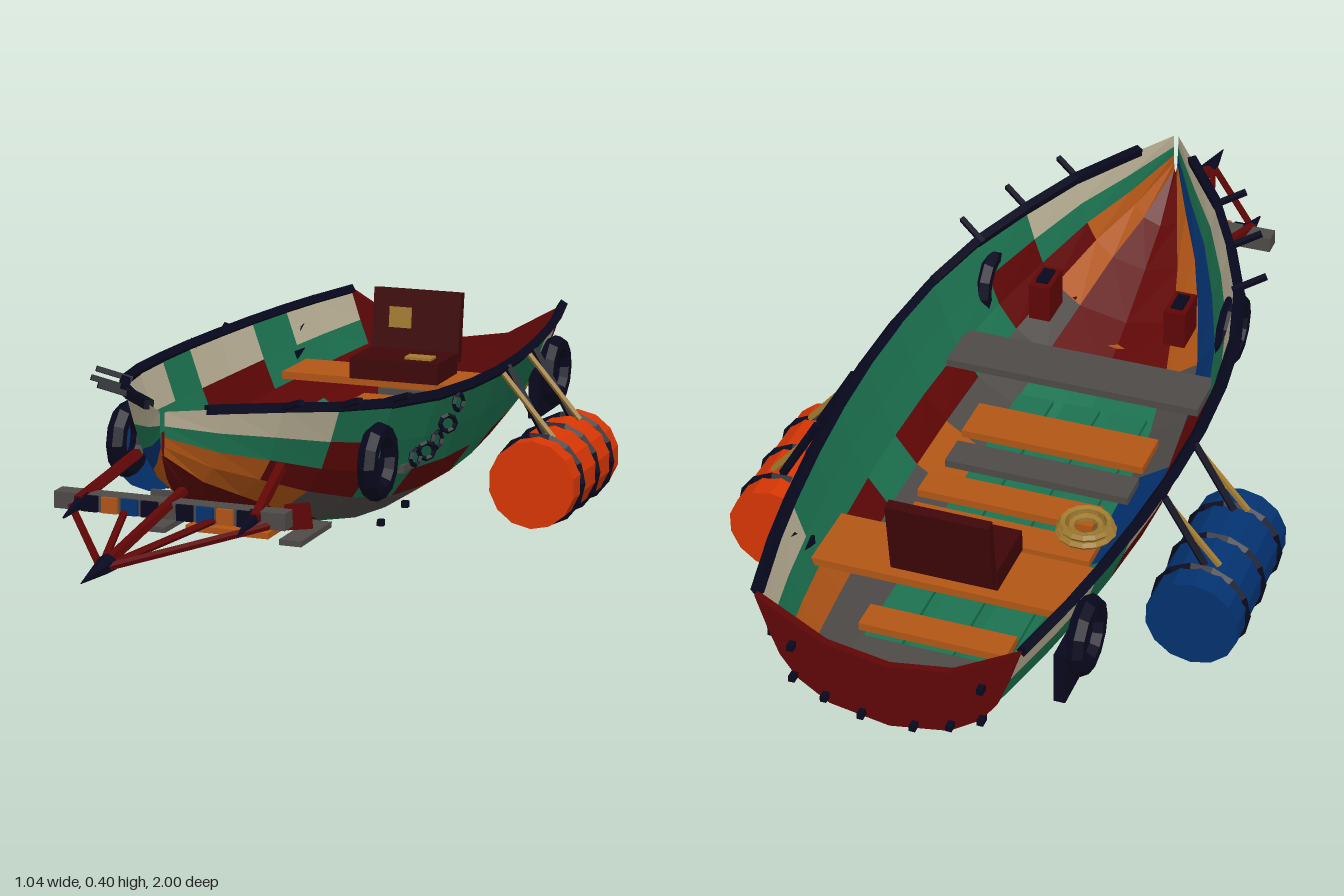
import * as THREE from 'three';

const paint = (name, color) => {
  const m = new THREE.MeshStandardMaterial({ color, flatShading: true, side: THREE.DoubleSide });
  m.name = name;
  return m;
};

// Hull stations from bow to stern: z, half width, sheer height, keel height
const STATIONS = [
  [0.65, 0.005, 0.4, 0.31], [0.55, 0.08, 0.39, 0.235], [0.45, 0.155, 0.378, 0.185],
  [0.33, 0.222, 0.36, 0.128], [0.2, 0.28, 0.345, 0.08], [0.05, 0.318, 0.333, 0.045],
  [-0.1, 0.335, 0.326, 0.03], [-0.25, 0.34, 0.322, 0.025], [-0.4, 0.335, 0.32, 0.03],
  [-0.55, 0.322, 0.32, 0.042], [-0.7, 0.303, 0.32, 0.055], [-0.82, 0.283, 0.32, 0.07],
  [-0.97, 0.25, 0.32, 0.09],
];
// Section shape, gunwale to keel: fraction of width and of height
const SECTION = [[1, 1], [0.91, 0.7], [0.83, 0.47], [0.7, 0.27], [0.46, 0.09], [0, 0]];
// Plank colours, one letter per bay from bow to stern, gunwale strake first
const LEFT = ['CCCGGGGGGGCC', 'GGGRGGGGGGGG', 'OORRGRRGROOO', 'OOONNNONNNNN', 'RRRRGGGGGGGG'];
const RIGHT = ['CCCCCCGCCGCC', 'GGGGGGGRRGGG', 'BBBBBRRRRRRR', 'OOOONNBBGGRR', 'RRRRGGGGGGGG'];

const hullPoint = (i, k, side) => {
  const [z, w, top, keel] = STATIONS[i];
  return new THREE.Vector3(side * w * SECTION[k][0], keel + (top - keel) * SECTION[k][1], z);
};

export function createModel() {
  const boat = new THREE.Group();
  boat.name = 'salvagedBoat';
  const green = paint('green', 0x1c7250), orange = paint('woodOrange', 0xb25616);
  const vermilion = paint('barrelOrange', 0xd83604), blue = paint('blue', 0x043270);
  const navy = paint('darkNavy', 0x08081e), red = paint('darkRed', 0x600606);
  const grey = paint('grey', 0x4e4a48), cream = paint('cream', 0xb8ae94);
  const gold = paint('rope', 0xa07a30), maroon = paint('maroon', 0x3e0608);
  const byLetter = { G: green, O: orange, B: blue, R: red, N: grey, C: cream };

  const add = (name, geometry, material, x = 0, y = 0, z = 0) => {
    const m = new THREE.Mesh(geometry, material);
    m.name = name;
    m.position.set(x, y, z);
    boat.add(m);
    return m;
  };
  const box = (name, mat, x, y, z, w, h, d) => add(name, new THREE.BoxGeometry(w, h, d), mat, x, y, z);
  // Straight bar between two points, optionally tapered
  const bar = (name, mat, a, b, r, sides = 5, rEnd = r) => {
    const from = new THREE.Vector3(...a), to = new THREE.Vector3(...b);
    const dir = to.clone().sub(from);
    const m = add(name, new THREE.CylinderGeometry(rEnd, r, dir.length(), sides), mat);
    m.position.copy(from).add(to).multiplyScalar(0.5);
    m.quaternion.setFromUnitVectors(new THREE.Vector3(0, 1, 0), dir.normalize());
    return m;
  };

  // Hull planks: each run of one colour along a strake is one panel
  for (const [side, colours] of [[1, LEFT], [-1, RIGHT]]) {
    colours.forEach((row, k) => {
      for (let start = 0; start < row.length;) {
        let end = start;
        const points = [];
        while (end < row.length && row[end] === row[start]) {
          const a = hullPoint(end, k, side), b = hullPoint(end + 1, k, side);
          const c = hullPoint(end + 1, k + 1, side), d = hullPoint(end, k + 1, side);
          points.push(...(side > 0 ? [a, d, c, a, c, b] : [a, c, d, a, b, c]));
          end++;
        }
        const g = new THREE.BufferGeometry().setFromPoints(points);
        g.computeVertexNormals();
        add('hullPlank', g, byLetter[row[start]]);
        start = end;
      }
    });
    // Gunwale rail
    for (let i = 0; i < STATIONS.length - 1; i++) {
      const a = hullPoint(i, 0, side), b = hullPoint(i + 1, 0, side);
      if (i === 0) a.lerp(b, 0.7);
      bar('gunwale', navy, a.toArray(), b.toArray(), 0.0125, 4);
    }
  }

  // Transom with a dipped top edge
  const shape = new THREE.Shape();
  const last = STATIONS.length - 1;
  const rim = [];
  for (let k = 0; k <= 5; k++) rim.push(hullPoint(last, k, 1));
  for (let k = 4; k >= 0; k--) rim.push(hullPoint(last, k, -1));
  rim.forEach((p, i) => (i ? shape.lineTo(p.x, p.y) : shape.moveTo(p.x, p.y)));
  shape.lineTo(-0.12, 0.245);
  shape.lineTo(0, 0.225);
  shape.lineTo(0.12, 0.245);
  add('transom', new THREE.ExtrudeGeometry(shape, { depth: 0.015, bevelEnabled: false }), red, 0, 0, -0.983);
  for (const s of [1, -1]) {
    for (const [x, y] of [[0.05, 0.11], [0.12, 0.13], [0.18, 0.16], [0.18, 0.23]]) {
      box('transomBolt', navy, s * x, y, -0.99, 0.012, 0.012, 0.02);
    }
  }

  // Floor slats
  for (const x of [-0.1, 0, 0.1]) box('floorSlat', green, x, 0.092, -0.42, 0.075, 0.01, 0.95);
  // Cross planks and thwarts: material, x, y, z, width, depth
  for (const [m, x, y, z, w, d] of [
    [grey, 0, 0.125, -0.845, 0.25, 0.07], [orange, 0, 0.12, -0.745, 0.29, 0.06],
    [orange, 0, 0.2, -0.645, 0.52, 0.145], [grey, 0, 0.115, -0.525, 0.36, 0.07],
    [orange, 0, 0.11, -0.415, 0.38, 0.068], [orange, 0.02, 0.11, -0.31, 0.36, 0.068],
    [grey, -0.005, 0.11, -0.2, 0.38, 0.07], [orange, 0, 0.11, -0.08, 0.38, 0.1],
    [grey, 0, 0.19, 0.042, 0.53, 0.115],
  ]) box('crossPlank', m, x, y, z, w, 0.016, d);

  // Open case on the bench
  box('caseBase', maroon, 0, 0.23, -0.63, 0.2, 0.045, 0.13);
  box('caseLid', maroon, 0, 0.305, -0.718, 0.2, 0.15, 0.022).rotation.x = -0.12;
  box('caseLabel', gold, 0.045, 0.255, -0.61, 0.06, 0.006, 0.035);
  box('lidLabel', gold, -0.035, 0.32, -0.704, 0.05, 0.045, 0.006).rotation.x = -0.12;

  // Rope coil
  for (const [r, y] of [[0.052, 0.126], [0.047, 0.14], [0.03, 0.132]]) {
    add('ropeCoil', new THREE.TorusGeometry(r, 0.008, 5, 14), gold, -0.155, y, -0.365).rotation.x = Math.PI / 2;
  }

  for (const s of [1, -1]) {
    // Barrel with raised hoops, slung from the gunwale
    const barrel = add('barrel', new THREE.CylinderGeometry(0.091, 0.091, 0.315, 14), s > 0 ? vermilion : blue, s * 0.422, 0.098, -0.38);
    barrel.rotation.x = Math.PI / 2;
    for (const z of [-0.275, -0.38, -0.48]) {
      add('barrelHoop', new THREE.TorusGeometry(0.09, 0.008, 4, 14), navy, s * 0.422, 0.098, z);
    }
    for (const z of [-0.28, -0.46]) {
      bar('barrelRope', gold, [s * 0.338, 0.315, z], [s * 0.45, 0.186, z], 0.0065);
      bar('barrelStrap', navy, [s * 0.345, 0.325, z - 0.012], [s * 0.425, 0.19, z - 0.012], 0.0085, 4);
    }
    // Tyre fenders
    box('fenderPad', navy, s * 0.278, 0.178, -0.77, 0.022, 0.105, 0.18);
    for (const [x, y, z] of [[0.26, 0.235, 0.23], [0.297, 0.215, -0.77]]) {
      add('tyre', new THREE.TorusGeometry(0.058, 0.02, 6, 12), navy, s * x, y, z).rotation.y = Math.PI / 2;
    }
    // Thole pegs along the bow rail
    for (const [x, y, z] of [[0.265, 0.347, 0.2], [0.215, 0.36, 0.33], [0.145, 0.375, 0.45]]) {
      bar('tholePeg', navy, [s * x, y, z], [s * (x + 0.06), y + 0.024, z + 0.035], 0.0075, 4);
    }
    // Bow lockers and loose boards under the bow
    box('bowLocker', red, s * 0.145, 0.225, 0.24, 0.045, 0.08, 0.08);
    box('lockerTop', navy, s * 0.145, 0.267, 0.24, 0.025, 0.006, 0.05);
    box('underBoard', grey, s * 0.14, 0.1, 0.3, 0.045, 0.011, 0.16);
    const patch = box('bowPatch', s > 0 ? red : grey, s * 0.14, 0.142, 0.336, 0.05, 0.05, 0.008);
    patch.rotation.z = s > 0 ? 0.15 : 0;
    // Prow frame side spars
    bar('prowSpar', red, [s * 0.145, 0.262, 0.44], [s * 0.175, 0.215, 0.64], 0.012);
    bar('sparTip', navy, [s * 0.17, 0.215, 0.62], [s * 0.172, 0.2, 0.71], 0.016, 5, 0.002);
    for (const x of [0.2, 0.09]) bar('prowStay', red, [s * x, 0.2, 0.62], [0, 0.176, 0.92], 0.0075);
    for (const [m, x] of [[navy, 0.155], [orange, 0.115], [blue, 0.075], [navy, 0.035]]) {
      box('beamBlock', m, s * x, 0.21, 0.632, 0.032, 0.03, 0.009);
    }
  }
  // Hull bolts
  for (const [x, y, z] of [
    [0.24, 0.1, 0.02], [0.16, 0.035, -0.06], [-0.2, 0.068, 0], [-0.21, 0.075, 0.02],
    [-0.09, 0.02, -0.21], [-0.097, 0.025, -0.18],
  ]) box('hullBolt', navy, x, y, z, 0.013, 0.013, 0.013);
  box('underBoard', orange, 0, 0.102, 0.31, 0.17, 0.012, 0.09);
  box('hullPatch', red, -0.15, 0.05, 0.06, 0.1, 0.01, 0.04).rotation.z = -0.4;

  // Prow crossbeam, centre spar and spike
  box('crossbeam', grey, 0, 0.21, 0.61, 0.46, 0.032, 0.038);
  bar('centreSpar', red, [0, 0.23, 0.56], [0, 0.176, 0.92], 0.011);
  bar('spike', navy, [0, 0.178, 0.89], [0, 0.17, 1], 0.019, 6, 0.001);

  // Chain hanging on the left side
  for (let i = 0; i < 5; i++) {
    const t = i / 4;
    const link = add('chainLink', new THREE.TorusGeometry(0.016, 0.005, 4, 8), navy,
      0.3 + 0.035 * t, 0.225 + 0.08 * t * t, 0.13 - 0.15 * t);
    link.rotation.y = Math.PI / 2 - (i % 2 ? 0.9 : 0.3);
  }
  return boat;
}
